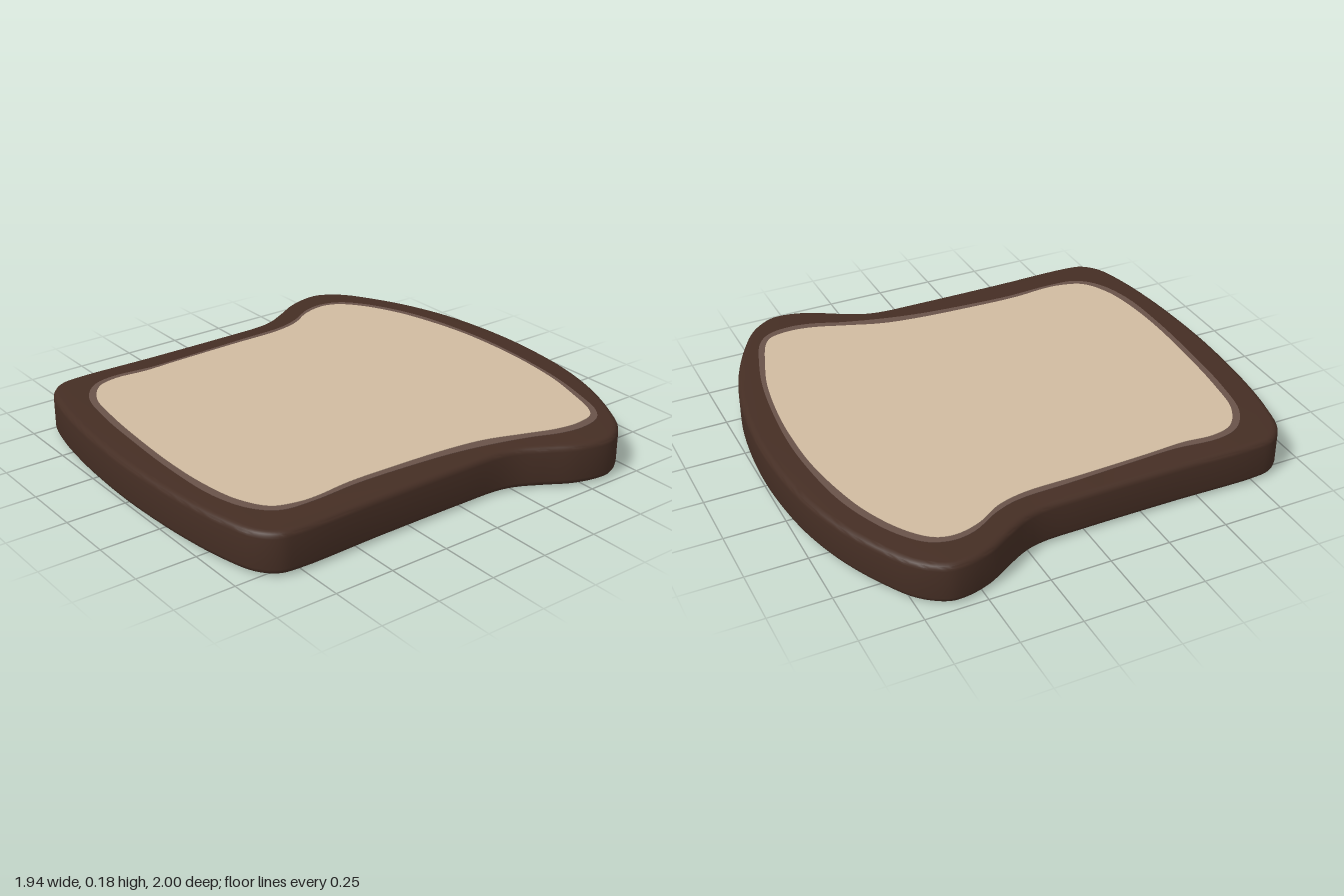
import * as THREE from 'three';
import { toCreasedNormals } from 'three/addons/utils/BufferGeometryUtils.js';

const HEIGHT = 0.18;

// Smooth closed outline through [x, z] points
function outline(points) {
  const curve = new THREE.CatmullRomCurve3(
    points.map(([x, z]) => new THREE.Vector3(x, z, 0)), true, 'centripetal');
  const pts = curve.getPoints(points.length * 5).slice(0, -1);
  return new THREE.Shape(pts.map((p) => new THREE.Vector2(p.x, p.y)));
}

// Horizontal slab with its lower and upper faces inset from the full height
function slab(name, points, inset, bevel, material) {
  const thickness = HEIGHT - 2 * inset;
  let geometry = new THREE.ExtrudeGeometry(outline(points), {
    depth: thickness - 2 * bevel,
    bevelEnabled: bevel > 0,
    bevelThickness: bevel,
    bevelSize: bevel,
    bevelOffset: -bevel,
    bevelSegments: 4,
  });
  geometry.rotateX(Math.PI / 2);
  geometry.translate(0, HEIGHT - inset - bevel, 0);
  geometry = toCreasedNormals(geometry, 0.6);
  const mesh = new THREE.Mesh(geometry, material);
  mesh.name = name;
  return mesh;
}

export function createModel() {
  const crustBrown = new THREE.MeshStandardMaterial({ color: 0x452e24 });
  crustBrown.name = 'crust brown';
  const rimBrown = new THREE.MeshStandardMaterial({ color: 0x695249 });
  rimBrown.name = 'rim brown';
  const crumbTan = new THREE.MeshStandardMaterial({ color: 0xd0bba0 });
  crumbTan.name = 'crumb tan';

  // Crust: one half of the slice, mirrored
  const half = [
    [0.2, -0.99], [0.4, -0.96], [0.6, -0.9], [0.78, -0.815], [0.9, -0.735],
    [0.965, -0.64], [0.97, -0.57], [0.94, -0.46], [0.88, -0.355], [0.83, -0.26],
    [0.81, -0.18], [0.805, 0], [0.805, 0.4], [0.81, 0.76], [0.795, 0.84],
    [0.73, 0.905], [0.58, 0.95], [0.38, 0.98], [0.18, 0.995],
  ];
  const mirrored = half.map(([x, z]) => [-x, z]).reverse();
  const crustPoints = [[0, -1], ...half, [0, 1], ...mirrored];

  // Darker toasted rim around the crumb, slightly uneven
  const rimPoints = [
    [-0.02, -0.89], [-0.21, -0.88], [-0.42, -0.85], [-0.58, -0.8], [-0.72, -0.73],
    [-0.81, -0.65], [-0.84, -0.56], [-0.825, -0.47], [-0.76, -0.355], [-0.725, -0.25],
    [-0.715, -0.03], [-0.7, 0.29], [-0.695, 0.45], [-0.71, 0.64], [-0.68, 0.74],
    [-0.58, 0.82], [-0.39, 0.86], [-0.13, 0.88], [0.16, 0.89], [0.43, 0.875],
    [0.59, 0.82], [0.665, 0.74], [0.68, 0.61], [0.67, 0.4], [0.68, 0.18],
    [0.7, -0.03], [0.73, -0.19], [0.78, -0.37], [0.825, -0.49], [0.84, -0.59],
    [0.82, -0.69], [0.76, -0.75], [0.61, -0.805], [0.43, -0.85], [0.19, -0.88],
  ];

  // Soft crumb
  const crumbPoints = [
    [0, -0.868], [-0.18, -0.86], [-0.39, -0.825], [-0.55, -0.78], [-0.71, -0.7],
    [-0.795, -0.62], [-0.815, -0.545], [-0.79, -0.44], [-0.725, -0.33], [-0.695, -0.21],
    [-0.69, 0.03], [-0.68, 0.34], [-0.672, 0.5], [-0.682, 0.63], [-0.655, 0.725],
    [-0.55, 0.8], [-0.39, 0.83], [-0.18, 0.85], [0.14, 0.863], [0.35, 0.852],
    [0.51, 0.82], [0.62, 0.755], [0.655, 0.66], [0.66, 0.58], [0.645, 0.42],
    [0.65, 0.19], [0.665, -0.05], [0.69, -0.21], [0.745, -0.37], [0.79, -0.5],
    [0.803, -0.6], [0.785, -0.69], [0.74, -0.73], [0.59, -0.785], [0.43, -0.83],
    [0.19, -0.862],
  ];

  const group = new THREE.Group();
  group.name = 'breadSlice';
  group.add(
    slab('crust', crustPoints, 0.004, 0.025, crustBrown),
    slab('toastedRim', rimPoints, 0.002, 0, rimBrown),
    slab('crumb', crumbPoints, 0, 0, crumbTan),
  );
  return group;
}
